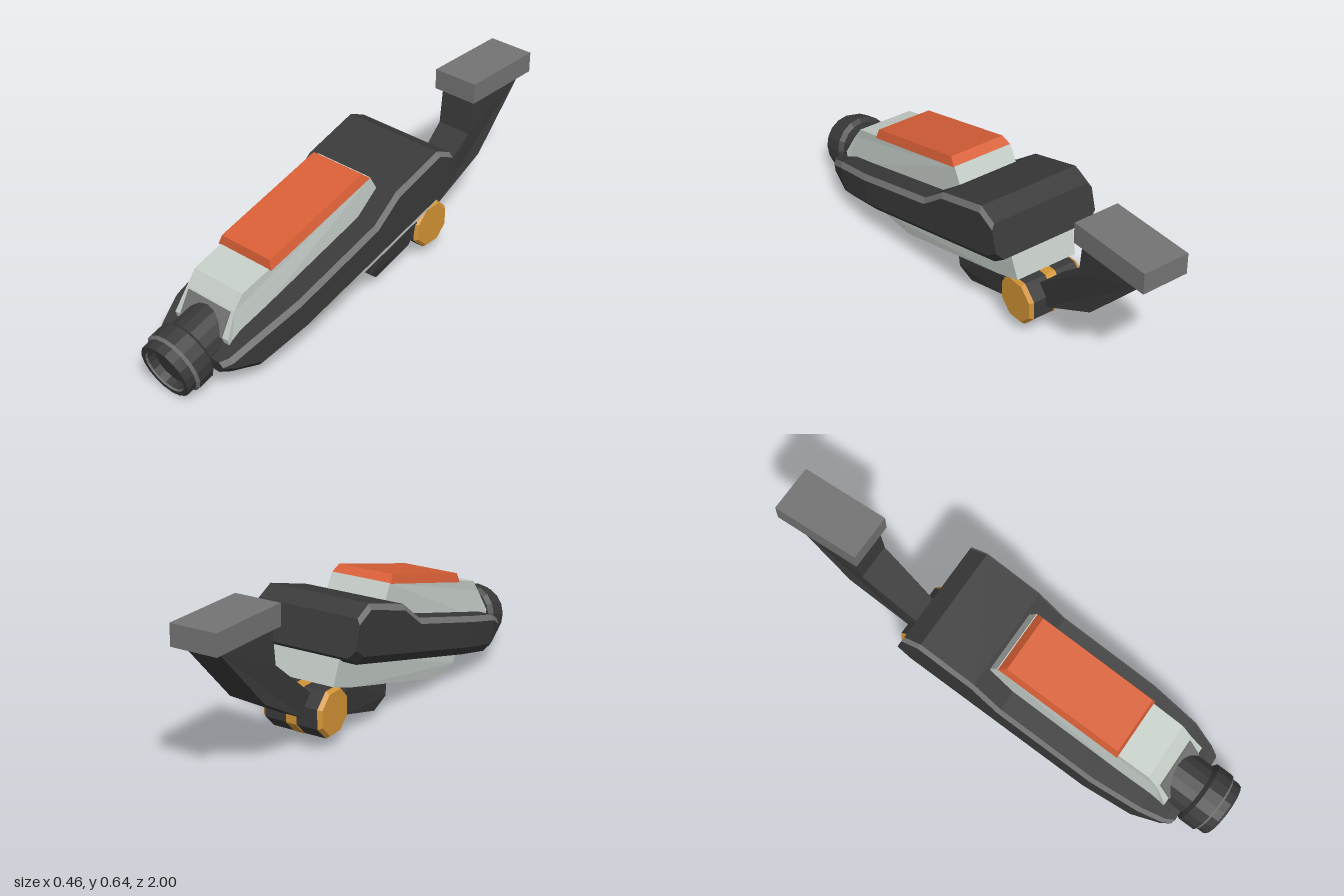
import * as THREE from 'three';

const material = (name, color) => {
  const m = new THREE.MeshStandardMaterial({ color });
  m.name = name;
  return m;
};

// Flat facets through split vertices
function facet(geometry) {
  const g = geometry.index ? geometry.toNonIndexed() : geometry;
  g.computeVertexNormals();
  return g;
}

// Side profile of [z, y] points spread along x; width(z, y) gives the half width
function prism(profile, width) {
  const shape = new THREE.Shape(profile.map(([z, y]) => new THREE.Vector2(z, y)));
  const g = new THREE.ExtrudeGeometry(shape, { depth: 2, bevelEnabled: false });
  g.translate(0, 0, -1).rotateY(-Math.PI / 2);
  const p = g.attributes.position;
  for (let i = 0; i < p.count; i++) p.setX(i, p.getX(i) * width(p.getZ(i), p.getY(i)));
  return facet(g);
}

// Chamfered hull through stations [z, half width, bottom, top]; group 1 is the top edge trim
function hullGeometry(stations) {
  const rings = stations.map(([z, w, b, t]) => {
    const half = [[w - 0.03, b], [w, b + 0.035], [w, t - 0.022], [w - 0.014, t]];
    const other = half.map(([x, y]) => [-x, y]).reverse();
    return [...half, ...other].map(([x, y]) => [x, y, z]);
  });
  const body = [], trim = [], n = 8, last = rings.length - 1;
  for (let i = 0; i < last; i++) {
    for (let j = 0; j < n; j++) {
      const k = (j + 1) % n, a = rings[i][j], b = rings[i][k], c = rings[i + 1][k], d = rings[i + 1][j];
      (j === 2 || j === 4 ? trim : body).push(...a, ...b, ...c, ...a, ...c, ...d);
    }
  }
  for (let j = 1; j < n - 1; j++) {
    body.push(...rings[0][0], ...rings[0][j + 1], ...rings[0][j]);
    body.push(...rings[last][0], ...rings[last][j], ...rings[last][j + 1]);
  }
  const g = new THREE.BufferGeometry();
  g.setAttribute('position', new THREE.Float32BufferAttribute([...body, ...trim], 3));
  g.addGroup(0, body.length / 3, 0);
  g.addGroup(body.length / 3, trim.length / 3, 1);
  // Ring order runs counter-clockwise seen from +z, so quads need their corners checked once
  g.computeVertexNormals();
  return g;
}

// Turned part along z from [radius, z] points
function turned(points) {
  const g = new THREE.LatheGeometry(points.map(([r, z]) => new THREE.Vector2(r, z)), 18);
  return facet(g.rotateX(Math.PI / 2));
}

// Eight-sided drum along x, flat side up
function drum(rLeft, rRight, length, x) {
  const g = new THREE.CylinderGeometry(rLeft, rRight, length, 8);
  return facet(g.rotateY(Math.PI / 8).rotateZ(-Math.PI / 2).translate(x, 0, 0));
}

export function createModel() {
  const dark = material('charcoal', 0x3a3a3a);
  const gray = material('midGray', 0x747474);
  const pale = material('paleGray', 0xc6cec8);
  const orange = material('orange', 0xd85f36);
  const gold = material('gold', 0xd39435);

  const model = new THREE.Group();
  model.name = 'securityCamera';
  const head = new THREE.Group();
  head.name = 'cameraHead';
  head.rotation.x = THREE.MathUtils.degToRad(15);
  model.add(head);

  const add = (parent, name, geometry, mat) => {
    const mesh = new THREE.Mesh(geometry, mat);
    mesh.name = name;
    parent.add(mesh);
    return mesh;
  };

  // Dark outer hull
  add(head, 'hull', hullGeometry([
    [-0.46, 0.23, 0.271, 0.42],
    [-0.396, 0.23, 0.246, 0.474],
    [-0.15, 0.23, 0.246, 0.467],
    [-0.013, 0.23, 0.246, 0.411],
    [0.42, 0.23, 0.246, 0.405],
    [0.633, 0.21, 0.246, 0.402],
    [0.738, 0.182, 0.296, 0.378],
    [0.773, 0.162, 0.315, 0.375],
  ]), [dark, gray]);

  // Upper body, narrowing towards the top and the sloped nose
  add(head, 'upperBody', prism(
    [[-0.16, 0.36], [-0.118, 0.529], [0.572, 0.529], [0.627, 0.487], [0.7, 0.41], [0.7, 0.36]],
    (z, y) => (z > 0.5 && y > 0.45 ? 0.12 : y > 0.45 ? 0.13 : 0.134),
  ), pale);
  add(head, 'nosePanel', prism(
    [[0.632, 0.482], [0.7, 0.41], [0.705, 0.414], [0.636, 0.486]], () => 0.105,
  ), gray);

  // Orange top cover with sloped edges
  add(head, 'topCover', prism(
    [[-0.116, 0.527], [-0.09, 0.562], [0.418, 0.562], [0.434, 0.527]],
    (z, y) => (y > 0.54 ? 0.12 : 0.132),
  ), orange);

  // Lower body and mounting block
  add(head, 'lowerBody', prism(
    [[-0.425, 0.27], [-0.425, 0.152], [-0.3, 0.143], [0.31, 0.14], [0.449, 0.198], [0.473, 0.27]],
    (z, y) => (y < 0.16 ? 0.135 : 0.146),
  ), pale);
  add(head, 'mountBlock', prism(
    [[-0.025, 0.16], [-0.016, 0.089], [-0.055, 0.03], [-0.257, 0.031], [-0.31, 0.11], [-0.31, 0.16]],
    (z, y) => (y < 0.06 ? 0.105 : 0.122),
  ), dark);

  // Lens barrel with rings and recessed glass
  const lens = new THREE.Group();
  lens.name = 'lens';
  lens.position.y = 0.365;
  head.add(lens);
  add(lens, 'lensBarrel', turned([[0.11, 0.55], [0.11, 0.775], [0.128, 0.79], [0.128, 0.857]]), dark);
  add(lens, 'lensRing', turned([[0.128, 0.857], [0.117, 0.867]]), gray);
  add(lens, 'lensRim', turned([[0.117, 0.867], [0.117, 0.897], [0.112, 0.906], [0.093, 0.906]]), dark);
  add(lens, 'lensInnerRing', turned([[0.093, 0.906], [0.088, 0.9]]), gray);
  add(lens, 'lensGlass', turned([[0.088, 0.9], [0.086, 0.868], [0, 0.868]]), dark);

  // Hinge drum with end caps and a centre band
  const hinge = new THREE.Group();
  hinge.name = 'hinge';
  hinge.position.set(0, 0.15, -0.353);
  model.add(hinge);
  add(hinge, 'hingeDrum', drum(0.1, 0.1, 0.23, 0), dark);
  add(hinge, 'hingeBand', drum(0.102, 0.102, 0.045, 0), gold);
  add(hinge, 'leftHingeCap', drum(0.088, 0.101, 0.015, 0.1225), gold);
  add(hinge, 'rightHingeCap', drum(0.101, 0.088, 0.015, -0.1225), gold);

  // Bent arm, widening towards the wall plate
  add(model, 'arm', prism(
    [[-0.38, 0.21], [-0.44, 0.26], [-0.64, 0.417], [-0.657, 0.57],
      [-0.967, 0.57], [-0.71, 0.294], [-0.44, 0.14], [-0.38, 0.11]],
    (z) => 0.055 + 0.02 * Math.min(1, Math.max(0, (-z - 0.4) / 0.25)),
  ), dark);
  const plate = new THREE.BoxGeometry(0.194, 0.085, 0.365);
  add(model, 'mountPlate', plate.translate(0, 0.6075, -0.8175), gray);

  return model;
}
